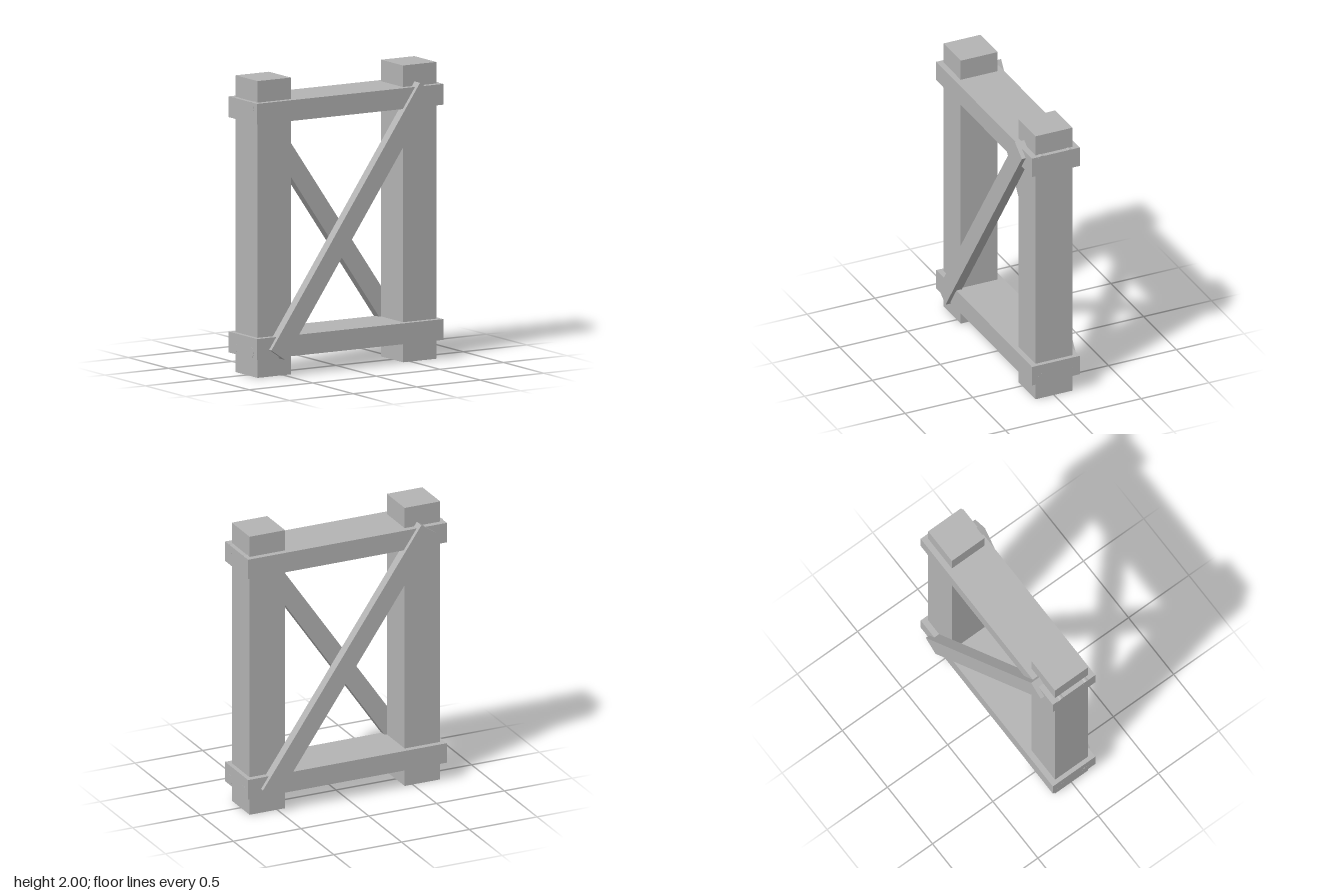
import * as THREE from 'three';

export function createModel() {
  const model = new THREE.Group();
  model.name = 'crossBracedFrame';
  const grey = new THREE.MeshStandardMaterial({ color: 0xb4b4b4 });
  grey.name = 'timber grey';

  const add = (name, geometry, x, y, z) => {
    const mesh = new THREE.Mesh(geometry, grey);
    mesh.name = name;
    mesh.position.set(x, y, z);
    model.add(mesh);
    return mesh;
  };

  // Upright posts
  const post = new THREE.BoxGeometry(0.262, 2, 0.272);
  add('leftPost', post, 0.572, 1, 0);
  add('rightPost', post, -0.572, 1, 0);

  // Horizontal beams wrapping the posts
  const beam = new THREE.BoxGeometry(1.466, 0.14, 0.352);
  add('topBeam', beam, 0, 1.785, 0);
  add('bottomBeam', beam, 0, 0.2, 0);

  // Diagonal braces, crossing in opposite directions on front and back
  const brace = new THREE.BoxGeometry(2.06, 0.13, 0.07);
  const angle = Math.atan2(1.695, 1.168);
  add('frontBrace', brace, 0, 1, 0.17).rotation.z = angle;
  add('backBrace', brace, 0, 1, -0.17).rotation.z = -angle;

  // Pegs almost flush with the beam ends
  const peg = new THREE.CylinderGeometry(0.034, 0.034, 0.03, 16).rotateZ(Math.PI / 2);
  for (const [level, y] of [['top', 1.825], ['bottom', 0.17]]) {
    for (const side of [-1, 1]) {
      for (const z of [-0.103, 0.103]) {
        add(level + 'Peg', peg, side * 0.719, y, z);
      }
    }
  }
  return model;
}
